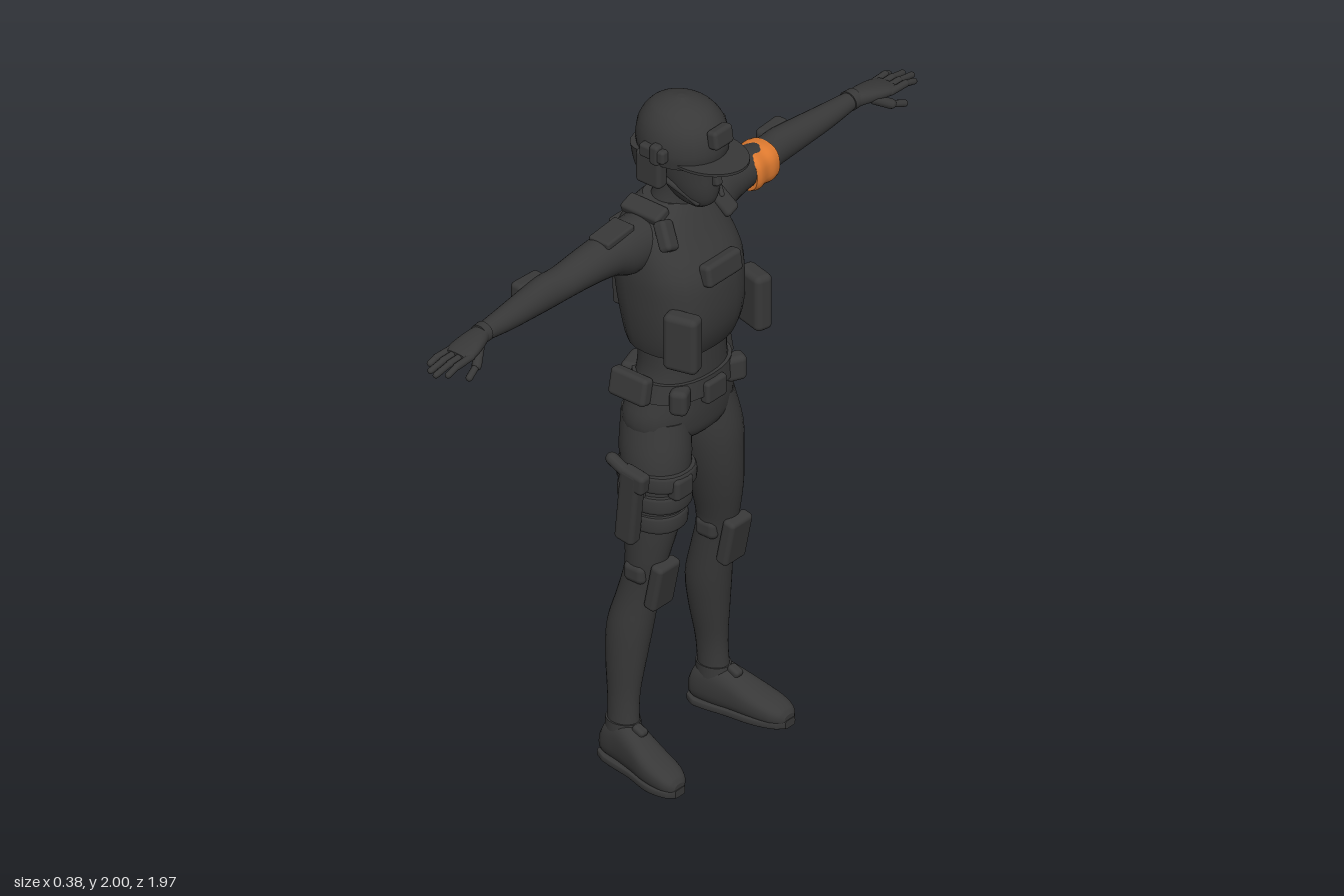
import * as THREE from 'three';
import { RoundedBoxGeometry } from 'three/addons/geometries/RoundedBoxGeometry.js';

const charcoal = new THREE.MeshStandardMaterial({ color: 0x383838 });
charcoal.name = 'charcoal';
const orange = new THREE.MeshStandardMaterial({ color: 0xe07b30 });
orange.name = 'orange';

// Smooth loft of superellipse sections [t, a, b, ra, rb] along an axis:
// y -> a=x b=z, x -> a=y b=z, z -> a=x b=y
function loft(axis, secs, n = 2, sub = 4, seg = 28) {
  const rows = [];
  const slope = (i, k) => {
    const p = secs[Math.max(i - 1, 0)], q = secs[Math.min(i + 1, secs.length - 1)];
    return (q[k] - p[k]) / (q[0] - p[0]);
  };
  for (let i = 0; i < secs.length - 1; i++) {
    for (let j = i ? 1 : 0; j <= sub; j++) {
      const u = j / sub, u2 = u * u, u3 = u2 * u, p = secs[i], q = secs[i + 1], h = q[0] - p[0];
      rows.push([0, 1, 2, 3, 4].map(k => k === 0 ? p[0] + h * u :
        (2 * u3 - 3 * u2 + 1) * p[k] + (u3 - 2 * u2 + u) * h * slope(i, k) +
        (3 * u2 - 2 * u3) * q[k] + (u3 - u2) * h * slope(i + 1, k)));
    }
  }
  const pos = [], idx = [];
  const put = (t, a, b) => pos.push(...(axis === 'y' ? [a, t, b] : axis === 'x' ? [t, a, b] : [a, b, t]));
  const ring = ([t, a, b, ra, rb]) => {
    for (let j = 0; j < seg; j++) {
      const c = Math.cos(j / seg * Math.PI * 2), s = Math.sin(j / seg * Math.PI * 2);
      put(t, a + ra * Math.sign(c) * Math.abs(c) ** (2 / n), b + rb * Math.sign(s) * Math.abs(s) ** (2 / n));
    }
  };
  const flip = (axis !== 'y') !== (secs[1][0] < secs[0][0]);
  const tri = (a, b, c) => flip ? idx.push(a, c, b) : idx.push(a, b, c);
  rows.forEach(ring);
  for (let i = 0; i < rows.length - 1; i++) for (let j = 0; j < seg; j++) {
    const k = (j + 1) % seg, a = i * seg, b = a + seg;
    tri(a + j, b + j, a + k);
    tri(a + k, b + j, b + k);
  }
  // end caps with their own edge vertices
  [rows[0], rows[rows.length - 1]].forEach((r, e) => {
    const base = pos.length / 3;
    ring(r);
    put(r[0], r[1], r[2]);
    for (let j = 0; j < seg; j++) {
      const k = (j + 1) % seg;
      e ? tri(base + j, base + seg, base + k) : tri(base + j, base + k, base + seg);
    }
  });
  const g = new THREE.BufferGeometry();
  g.setAttribute('position', new THREE.Float32BufferAttribute(pos, 3));
  g.setIndex(idx);
  g.computeVertexNormals();
  return g;
}

export function createModel() {
  const model = new THREE.Group();
  model.name = 'soldier';
  const add = (name, geo, mat = charcoal) => {
    const m = new THREE.Mesh(geo, mat);
    m.name = name;
    model.add(m);
    return m;
  };
  const pouch = (name, size, at, rot = [0, 0, 0]) => {
    const m = add(name, new RoundedBoxGeometry(...size, 3, Math.min(...size) * 0.32));
    m.position.set(...at);
    m.rotation.set(...rot);
  };
  const capsule = (name, p, q, r) => {
    const a = new THREE.Vector3(...p), d = new THREE.Vector3(...q).sub(a);
    const m = add(name, new THREE.CapsuleGeometry(r, d.length(), 4, 10));
    m.position.copy(a).addScaledVector(d, 0.5);
    m.quaternion.setFromUnitVectors(new THREE.Vector3(0, 1, 0), d.normalize());
  };

  // torso, facing +x
  add('pelvis', loft('y', [[0.965, -0.03, 0, 0.05, 0.04], [1.0, -0.035, 0, 0.1, 0.15], [1.05, -0.037, 0, 0.114, 0.178],
    [1.12, -0.027, 0, 0.105, 0.16], [1.2, -0.022, 0, 0.1, 0.135], [1.29, -0.022, 0, 0.1, 0.135]], 2.2));
  add('vest', loft('y', [[1.26, -0.025, 0, 0.1, 0.135], [1.27, -0.025, 0, 0.12, 0.148], [1.35, -0.022, 0, 0.145, 0.163],
    [1.45, -0.03, 0, 0.155, 0.17], [1.52, -0.038, 0, 0.149, 0.17], [1.6, -0.058, 0, 0.122, 0.155],
    [1.66, -0.065, 0, 0.09, 0.115], [1.69, -0.065, 0, 0.065, 0.07]], 2.5));
  add('neck', loft('y', [[1.65, -0.06, 0, 0.068, 0.07], [1.72, -0.045, 0, 0.055, 0.053], [1.8, -0.035, 0, 0.055, 0.052]]));
  add('belt', loft('y', [[1.125, -0.025, 0, 0.115, 0.162], [1.18, -0.022, 0, 0.11, 0.15]], 2.2, 1));
  pouch('chestPouch', [0.04, 0.065, 0.14], [0.112, 1.52, 0], [0, 0, 0.15]);
  pouch('buckle', [0.03, 0.065, 0.08], [0.088, 1.135, 0]);
  pouch('backPanel', [0.03, 0.26, 0.2], [-0.172, 1.47, 0], [0, 0, 0.06]);

  // head and helmet
  add('head', loft('y', [[1.69, 0.035, 0, 0.025, 0.02], [1.71, 0.025, 0, 0.06, 0.043], [1.75, 0.01, 0, 0.086, 0.062],
    [1.8, -0.008, 0, 0.104, 0.076], [1.87, -0.02, 0, 0.115, 0.088]]));
  pouch('nose', [0.03, 0.04, 0.026], [0.094, 1.79, 0], [0, 0, 0.25]);
  add('helmet', loft('y', [[1.84, -0.02, 0, 0.126, 0.112], [1.88, -0.02, 0, 0.131, 0.117], [1.93, -0.021, 0, 0.121, 0.107],
    [1.97, -0.022, 0, 0.092, 0.08], [1.99, -0.023, 0, 0.054, 0.046], [2.0, -0.023, 0, 0.012, 0.01]]));
  add('helmetBack', loft('y', [[1.775, -0.085, 0, 0.045, 0.075], [1.79, -0.085, 0, 0.058, 0.09], [1.86, -0.08, 0, 0.069, 0.11]], 2.4));
  const brim = add('brim', new THREE.CylinderGeometry(1, 1, 0.008, 32));
  brim.scale.set(0.13, 1, 0.1);
  brim.position.set(0.058, 1.853, 0);
  pouch('helmetMount', [0.035, 0.055, 0.075], [0.11, 1.927, 0], [0, 0, 0.15]);

  for (const s of [1, -1]) {
    // headset, rails and chin strap
    pouch('earCup', [0.085, 0.1, 0.04], [-0.045, 1.815, s * 0.098]);
    pouch('helmetRail', [0.085, 0.04, 0.028], [-0.02, 1.88, s * 0.118]);
    pouch('railClip', [0.03, 0.06, 0.03], [-0.01, 1.88, s * 0.12]);
    capsule('chinStrap', [-0.02, 1.79, s * 0.085], [0.06, 1.715, s * 0.035], 0.008);

    // vest fittings
    pouch('shoulderStrapPouch', [0.04, 0.085, 0.05], [0.02, 1.635, s * 0.115], [s * -0.35, 0, 0.6]);
    pouch('shoulderStrap', [0.13, 0.03, 0.055], [-0.07, 1.672, s * 0.095], [s * 0.35, 0, 0]);
    pouch('magazinePouch', [0.1, 0.17, 0.055], [0.105, 1.355, s * 0.148], [0, s * 0.25, 0]);
    pouch('shoulderPad', [0.07, 0.022, 0.11], [-0.075, 1.657, s * 0.225], [s * 0.1, 0, 0]);

    // arm, stretched sideways
    add('arm', loft('z', [[0.1, -0.075, 1.59, 0.075, 0.075], [0.18, -0.075, 1.59, 0.068, 0.078], [0.24, -0.078, 1.598, 0.06, 0.063],
      [0.32, -0.08, 1.6, 0.054, 0.054], [0.42, -0.085, 1.594, 0.047, 0.047], [0.48, -0.09, 1.592, 0.045, 0.048],
      [0.56, -0.087, 1.593, 0.041, 0.042], [0.66, -0.08, 1.597, 0.034, 0.034], [0.76, -0.075, 1.603, 0.025, 0.024]]
      .map(([t, ...r]) => [s * t, ...r])));
    pouch('elbowPad', [0.045, 0.075, 0.1], [-0.132, 1.592, s * 0.5], [0, s * -0.06, 0]);
    add('gloveCuff', loft('z', [[s * 0.745, -0.076, 1.603, 0.03, 0.028], [s * 0.77, -0.074, 1.604, 0.029, 0.027]], 2, 1));
    add('palm', loft('z', [[0.75, -0.075, 1.604, 0.024, 0.022], [0.8, -0.066, 1.604, 0.036, 0.021], [0.85, -0.06, 1.6, 0.043, 0.018],
      [0.885, -0.058, 1.596, 0.04, 0.013]].map(([t, ...r]) => [s * t, ...r]), 2.3));
    [0.94, 0.967, 0.975, 0.955].forEach((end, i) => {
      const x = -0.091 + i * 0.022, tip = -0.1 + i * 0.025;
      capsule('finger', [x, 1.598, s * 0.86], [tip * 0.5 + x * 0.5, 1.596, s * 0.92], 0.0105);
      capsule('fingertip', [tip * 0.5 + x * 0.5, 1.596, s * 0.92], [tip, 1.586, s * end], 0.009);
    });
    capsule('thumb', [-0.04, 1.593, s * 0.81], [-0.015, 1.57, s * 0.85], 0.014);
    capsule('thumbTip', [-0.015, 1.57, s * 0.85], [-0.005, 1.556, s * 0.892], 0.01);

    // leg
    add('leg', loft('y', [[1.06, -0.037, 0.09, 0.1, 0.08], [0.95, -0.025, 0.105, 0.102, 0.09], [0.85, -0.015, 0.115, 0.09, 0.08],
      [0.75, -0.015, 0.13, 0.079, 0.069], [0.65, -0.02, 0.144, 0.063, 0.055], [0.6, -0.027, 0.147, 0.058, 0.051],
      [0.52, -0.045, 0.151, 0.06, 0.053], [0.42, -0.065, 0.16, 0.066, 0.058], [0.32, -0.071, 0.17, 0.059, 0.051],
      [0.2, -0.071, 0.181, 0.047, 0.038], [0.06, -0.065, 0.187, 0.048, 0.04]].map(([y, x, z, a, b]) => [y, x, s * z, a, b])));
    pouch('kneePad', [0.04, 0.145, 0.088], [0.034, 0.575, s * 0.148], [0, 0, -0.2]);
    pouch('kneeStrap', [0.07, 0.06, 0.115], [-0.025, 0.605, s * 0.147]);

    // boot with toe turned out
    add('boot', loft('x', [[-0.13, 0.05, 0.183, 0.035, 0.03], [-0.11, 0.065, 0.183, 0.055, 0.043], [-0.06, 0.072, 0.188, 0.068, 0.047],
      [0, 0.062, 0.2, 0.058, 0.049], [0.06, 0.048, 0.212, 0.044, 0.053], [0.12, 0.037, 0.22, 0.032, 0.048],
      [0.15, 0.03, 0.224, 0.022, 0.034], [0.16, 0.026, 0.225, 0.012, 0.02]].map(([x, y, z, a, b]) => [x, y, s * z, a, b]), 2.5));
    add('sole', loft('x', [[-0.134, 0.012, 0.183, 0.012, 0.032], [-0.1, 0.012, 0.184, 0.012, 0.048], [0, 0.012, 0.2, 0.012, 0.05],
      [0.08, 0.012, 0.216, 0.012, 0.056], [0.14, 0.012, 0.224, 0.012, 0.042], [0.162, 0.012, 0.226, 0.012, 0.02]]
      .map(([x, y, z, a, b]) => [x, y, s * z, a, b]), 5));
    add('bootCollar', loft('y', [[0.1, -0.067, s * 0.186, 0.053, 0.043], [0.135, -0.069, s * 0.185, 0.051, 0.042]], 2, 1));
    pouch('bootBuckle', [0.04, 0.035, 0.03], [-0.005, 0.118, s * 0.195], [0, 0, -0.4]);

    // belt pouches
    pouch('hipPouch', [0.125, 0.08, 0.04], [-0.06, 1.16, s * 0.165], [s * -0.2, 0, 0]);
    pouch('frontBeltPouch', [0.05, 0.075, 0.06], [0.065, 1.14, s * 0.112], [0, s * 0.45, 0]);
    pouch('rearBeltPouch', [0.045, 0.07, 0.09], [-0.125, 1.15, s * 0.075], [0, s * 0.3, 0]);
  }
  capsule('microphone', [0.0, 1.77, -0.095], [0.095, 1.728, -0.025], 0.007);

  // arm band
  add('armBand', loft('z', [[-0.312, -0.081, 1.592, 0.057, 0.055], [-0.33, -0.081, 1.59, 0.061, 0.059], [-0.36, -0.083, 1.589, 0.058, 0.056],
    [-0.385, -0.083, 1.588, 0.06, 0.058], [-0.408, -0.083, 1.588, 0.056, 0.055]], 2.5), orange);

  // thigh rig and holster
  [[0.9, 0.112, 0.108, 0.094], [0.835, 0.119, 0.101, 0.088], [0.775, 0.127, 0.095, 0.08]].forEach(([y, z, rx, rz]) => {
    add('thighStrap', loft('y', [[y - 0.024, -0.015, z, rx - 0.004, rz - 0.004], [y - 0.016, -0.015, z, rx, rz],
      [y + 0.016, -0.015, z, rx, rz], [y + 0.024, -0.015, z, rx - 0.004, rz - 0.004]], 2.3, 2));
  });
  pouch('thighPouchFront', [0.04, 0.065, 0.07], [0.078, 0.885, 0.125]);
  pouch('thighPouchBack', [0.04, 0.065, 0.07], [-0.1, 0.88, 0.125]);
  pouch('holster', [0.065, 0.24, 0.045], [-0.005, 0.845, 0.233], [0.06, 0, -0.14]);
  pouch('holsterTop', [0.085, 0.06, 0.04], [0.015, 0.935, 0.24], [0.06, 0, -0.14]);
  capsule('pistolGrip', [0.0, 0.945, 0.243], [-0.055, 0.975, 0.247], 0.018);
  pouch('holsterMount', [0.05, 0.09, 0.04], [-0.01, 0.86, 0.205]);
  return model;
}
